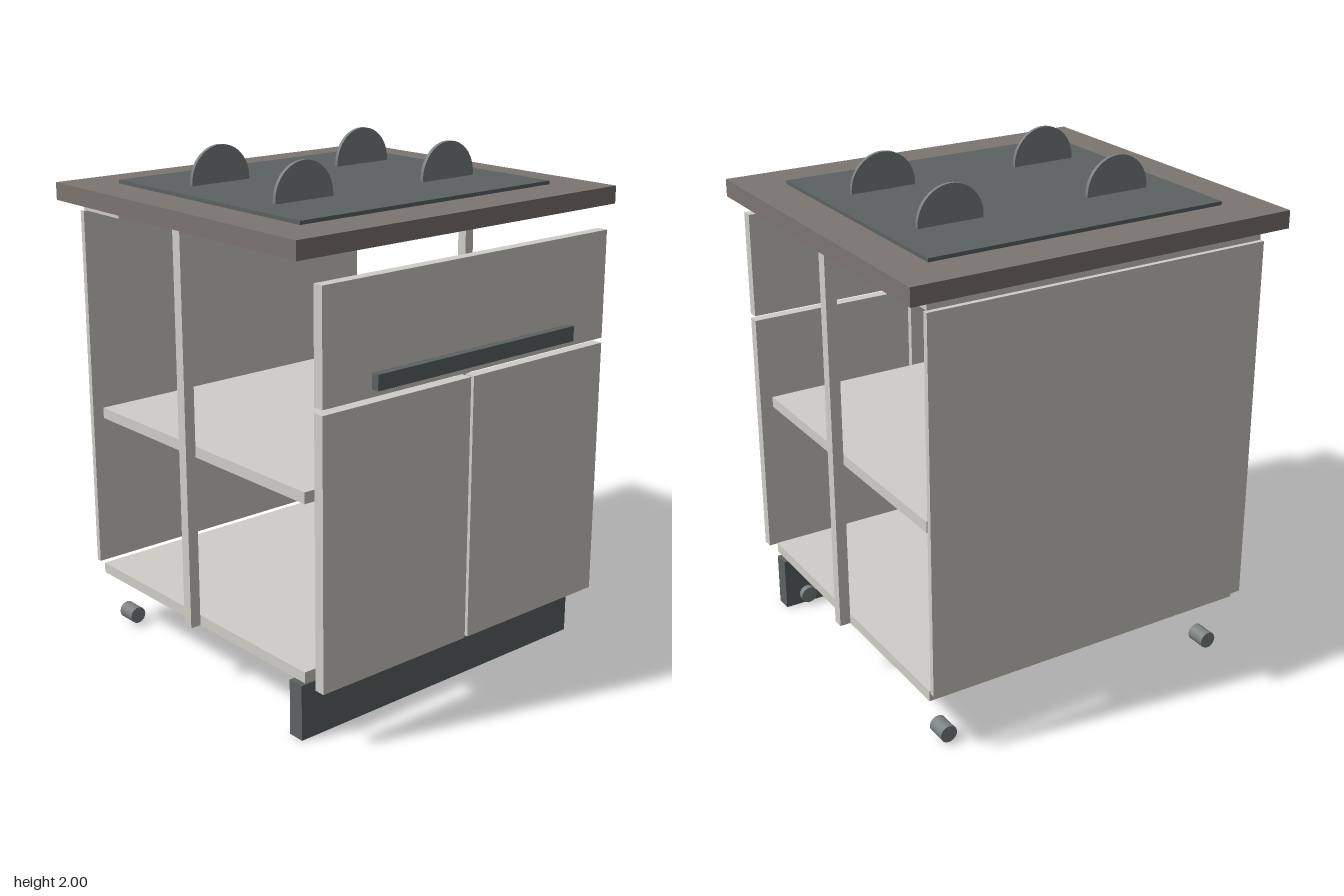
import * as THREE from 'three';

const material = (color) => new THREE.MeshStandardMaterial({ color });

export function createModel() {
  const group = new THREE.Group();
  const panel = material(0xd0cec8);
  const dark = material(0x5c6363);
  const stone = material(0x7d7672);
  const metal = material(0x7b8080);

  // Box given by its minimum and maximum along each axis
  function box(name, mat, [x0, x1], [y0, y1], [z0, z1]) {
    const mesh = new THREE.Mesh(new THREE.BoxGeometry(x1 - x0, y1 - y0, z1 - z0), mat);
    mesh.position.set((x0 + x1) / 2, (y0 + y1) / 2, (z0 + z1) / 2);
    mesh.name = name;
    group.add(mesh);
  }

  // Cylinder lying along z
  function rod(name, mat, radius, length, x, y, z, sides) {
    const geometry = new THREE.CylinderGeometry(radius, radius, length, sides).rotateX(Math.PI / 2);
    const mesh = new THREE.Mesh(geometry, mat);
    mesh.position.set(x, y, z);
    mesh.name = name;
    group.add(mesh);
  }

  // Worktop and hob
  box('worktop', stone, [-0.78, 0.78], [1.775, 1.843], [-0.76, 0.687]);
  box('hobPlate', dark, [-0.612, 0.612], [1.843, 1.857], [-0.58, 0.503]);

  // Carcass
  box('bottomPanel', panel, [-0.693, 0.693], [0.23, 0.272], [-0.68, 0.61]);
  box('shelf', panel, [-0.68, 0.68], [0.9, 0.943], [-0.657, 0.6]);
  box('backPanel', panel, [-0.7, 0.7], [0.275, 1.73], [-0.722, -0.7]);
  box('backRail', panel, [-0.693, 0.693], [1.733, 1.775], [-0.71, -0.467]);

  // Drawer front with its handle
  box('drawerFront', panel, [-0.7, 0.7], [1.27, 1.69], [0.677, 0.72]);
  box('drawerHandle', dark, [-0.49, 0.49], [1.302, 1.36], [0.728, 0.76]);

  // Plinth
  box('plinth', dark, [-0.7, 0.7], [0, 0.217], [0.533, 0.6]);

  // Mirrored parts
  for (const side of [-1, 1]) {
    const span = (a, b) => (side > 0 ? [a, b] : [-b, -a]);
    box('door', panel, span(0.007, 0.7), [0.23, 1.25], [0.677, 0.72]);
    box('sidePost', panel, span(0.693, 0.736), [0.23, 1.775], [-0.058, -0.015]);
    for (const z of [0.21, -0.283]) rod('burnerDisc', metal, 0.133, 0.015, side * 0.355, 1.867, z, 48);
    for (const z of [0.548, -0.622]) rod('foot', metal, 0.034, 0.082, side * 0.605, 0.044, z, 24);
  }

  return group;
}
